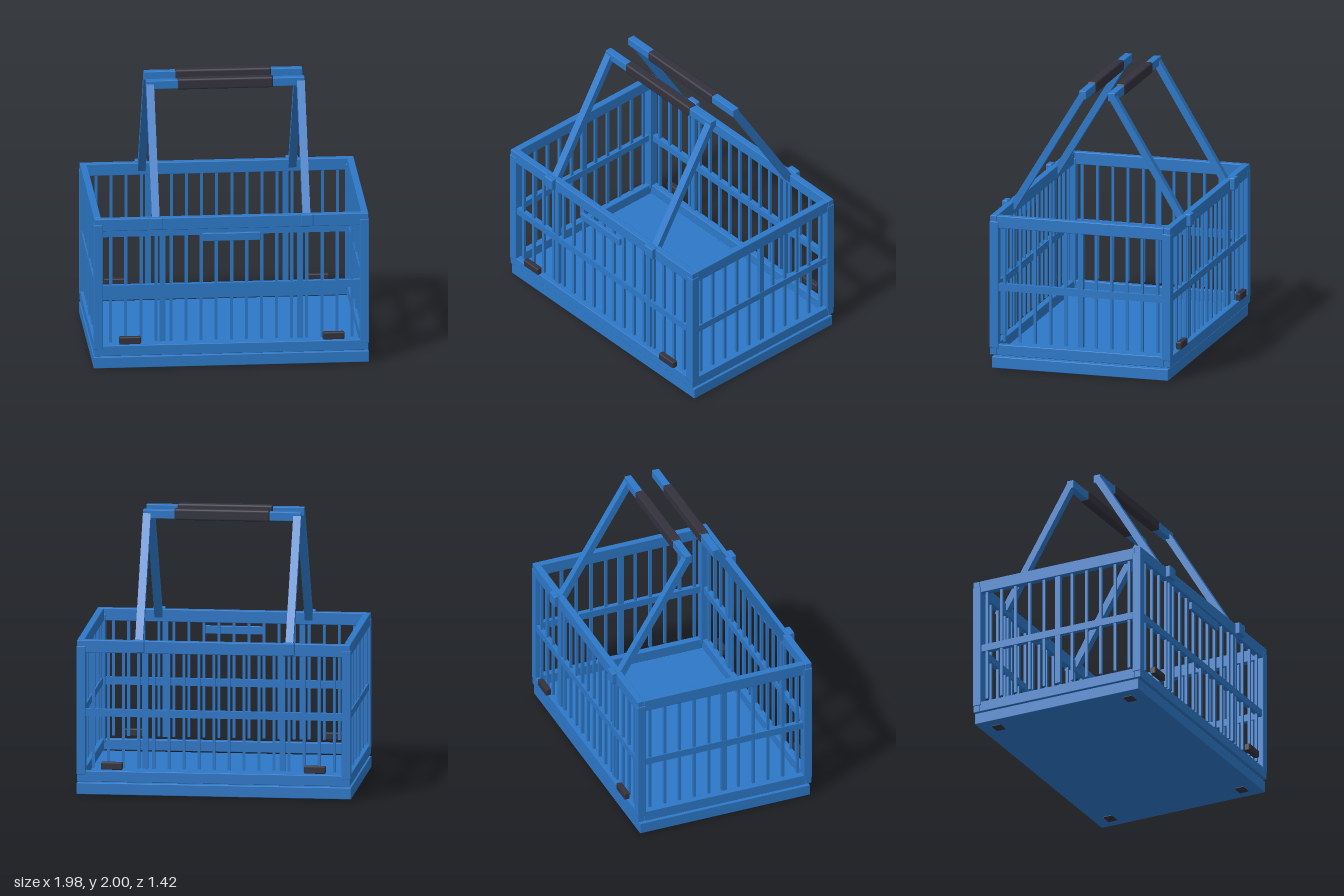
import * as THREE from 'three';
import { RoundedBoxGeometry } from 'three/addons/geometries/RoundedBoxGeometry.js';

const blue = new THREE.MeshStandardMaterial({ color: 0x2d78c8 });
blue.name = 'blue plastic';
const dark = new THREE.MeshStandardMaterial({ color: 0x33323d });
dark.name = 'dark rubber';

export function createModel() {
  const model = new THREE.Group();
  model.name = 'basket';

  // Box given by its extents on each axis, with an optional small bevel
  function box(name, [x0, x1], [y0, y1], [z0, z1], material = blue, bevel = 0, parent = model) {
    const size = [x1 - x0, y1 - y0, z1 - z0];
    const geometry = bevel ? new RoundedBoxGeometry(...size, 1, bevel) : new THREE.BoxGeometry(...size);
    const mesh = new THREE.Mesh(geometry, material);
    mesh.name = name;
    mesh.position.set((x0 + x1) / 2, (y0 + y1) / 2, (z0 + z1) / 2);
    parent.add(mesh);
    return mesh;
  }
  // Extent around a centre
  const around = (c, width) => [c - width / 2, c + width / 2];

  // Floor slab with four small pads underneath
  box('floor', [-0.99, 0.99], [0.004, 0.088], [-0.66, 0.66], blue, 0.005);
  for (const x of [-0.87, 0.87]) {
    for (const z of [-0.53, 0.53]) box('footPad', around(x, 0.09), [0, 0.008], around(z, 0.07), dark);
  }

  // Front and back walls
  for (const s of [-1, 1]) {
    box('longLowerRail', [-0.985, 0.985], [0.1, 0.178], around(s * 0.65, 0.05), blue, 0.005);
    box('longTopRail', [-0.985, 0.985], [1.04, 1.13], around(s * 0.65, 0.05), blue, 0.005);
    box('longMiddleRail', [-0.93, 0.93], [0.575, 0.628], around(s * 0.65, 0.036));
    for (let i = -8; i <= 8; i++) {
      box('longBar', around(i * 0.1085, 0.02), [0.2, 1.05], around(s * 0.65, 0.02));
    }
    for (const x of [-0.495, 0.495]) {
      box('longRib', around(x, 0.04), [0.2, 1.05], around(s * 0.65, 0.03));
    }
  }

  // Side walls
  for (const s of [-1, 1]) {
    box('sideLowerRail', around(s * 0.96, 0.05), [0.1, 0.178], [-0.625, 0.625], blue, 0.005);
    box('sideTopRail', around(s * 0.96, 0.05), [1.04, 1.13], [-0.625, 0.625], blue, 0.005);
    box('sideMiddleRail', around(s * 0.96, 0.036), [0.575, 0.628], [-0.615, 0.615]);
    for (let i = -5; i <= 5; i++) {
      box('sideBar', around(s * 0.96, 0.02), [0.2, 1.05], around(i * 0.1145, 0.02));
    }
    box('sideRib', around(s * 0.96, 0.03), [0.2, 1.05], around(0, 0.04));
  }

  // Corner posts
  for (const x of [-0.957, 0.957]) {
    for (const z of [-0.645, 0.645]) {
      box('cornerPost', around(x, 0.066), [0.15, 1.087], around(z, 0.066), blue, 0.006);
    }
  }

  // Name plate on the front wall, left blank
  box('frontPlate', [-0.21, 0.21], [0.952, 1.01], [0.665, 0.69], blue, 0.004);

  // Dark bumper clips, front and back
  for (const x of [-0.732, 0.732]) {
    for (const z of [-0.685, 0.685]) {
      box('bumperClip', around(x, 0.156), [0.194, 0.248], around(z, 0.042), dark, 0.008);
    }
  }

  // Two handles leaning inward
  for (const s of [-1, 1]) {
    const handle = new THREE.Group();
    handle.name = s > 0 ? 'frontHandle' : 'backHandle';
    model.add(handle);
    const low = new THREE.Vector2(0.638, 1.085), high = new THREE.Vector2(0.112, 1.955);
    const span = high.clone().sub(low);
    for (const x of [-0.542, 0.542]) {
      box('pivotBracket', around(x, 0.09), [1.05, 1.14], around(s * 0.686, 0.044), blue, 0.008, handle);
      const arm = box('handleArm', around(x, 0.056), around((low.y + high.y) / 2, span.length()),
        around(s * (low.x + high.x) / 2, 0.05), blue, 0, handle);
      arm.rotation.x = s * Math.atan2(span.x, span.y);
    }
    box('handleBar', [-0.57, 0.57], [1.927, 1.99], around(s * 0.108, 0.054), blue, 0.005, handle);
    box('handleGrip', [-0.345, 0.345], [1.92, 2.0], around(s * 0.108, 0.072), dark, 0.014, handle);
  }

  return model;
}
